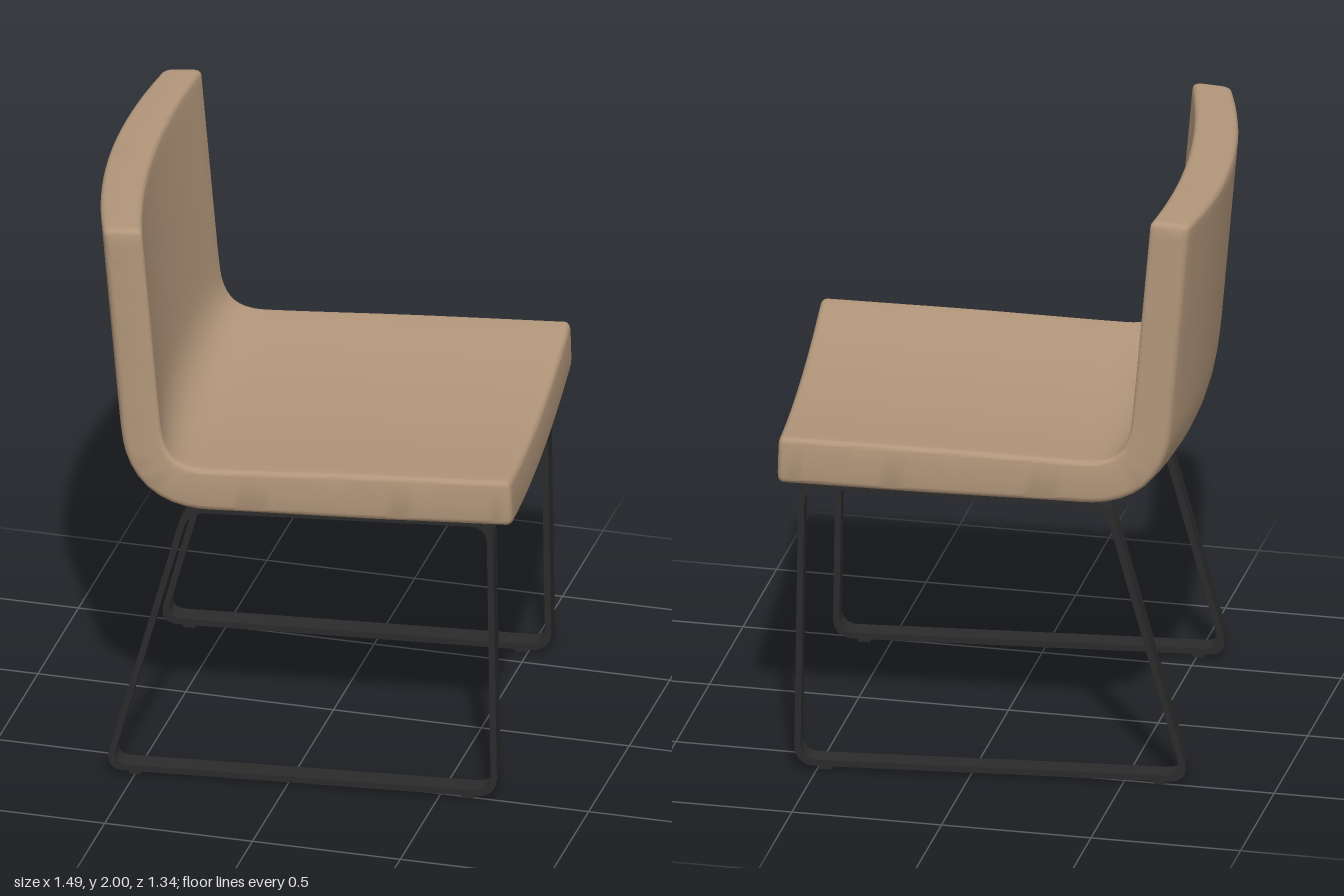
import * as THREE from 'three';
import { toCreasedNormals } from 'three/addons/utils/BufferGeometryUtils.js';

const fabric = new THREE.MeshStandardMaterial({ color: 0xb2967a });
fabric.name = 'tan upholstery';
const metal = new THREE.MeshStandardMaterial({ color: 0x2b2b2b });
metal.name = 'black metal';

const { lerp, smoothstep } = THREE.MathUtils;
const v2 = (x, y) => new THREE.Vector2(x, y);

// One upholstered shell: a rounded slab swept down the back and along the seat,
// dished across its width, the back cushion a little fuller in the middle.
function shellGeometry() {
  const path = new THREE.CurvePath();
  const top = v2(-0.597, 1.994), bendA = v2(-0.535, 1.275);
  const bendB = v2(-0.315, 1.07), front = v2(0.688, 1.1);
  path.add(new THREE.LineCurve(top, bendA));
  path.add(new THREE.CubicBezierCurve(bendA, v2(-0.524, 1.145), v2(-0.46, 1.066), bendB));
  path.add(new THREE.LineCurve(bendB, front));
  const length = path.getLength();

  const halfWidth = 0.607, r = 0.02, steps = 4;

  // Positions across the width, with the rounding of the long edges
  const across = [];
  for (let i = 0; i < steps; i++) {
    const a = (1 - i / steps) * Math.PI / 2;
    across.push([-1, r * (1 - Math.sin(a)), r * (1 - Math.cos(a))]);
  }
  const inner = 1 - r / halfWidth;
  for (let i = 0; i <= 20; i++) across.push([inner * (i / 10 - 1), 0, 0]);
  for (let i = 1; i <= steps; i++) {
    const a = i / steps * Math.PI / 2;
    across.push([1, r * (1 - Math.sin(a)), r * (1 - Math.cos(a))]);
  }

  // Stations along the path, with the rounding of the two ends
  const stations = [];
  for (let i = 0; i < steps; i++) {
    const a = i / steps * Math.PI / 2;
    stations.push([r * (1 - Math.cos(a)) / length, r * (1 - Math.sin(a))]);
  }
  const s0 = r / length;
  for (let i = 0; i <= 60; i++) stations.push([s0 + (1 - 2 * s0) * i / 60, 0]);
  for (let i = steps - 1; i >= 0; i--) {
    stations.push([1 - stations[i][0], stations[i][1]]);
  }

  const pos = [], index = [];
  const M = across.length, ring = 2 * M;
  for (const [s, inset] of stations) {
    const p = path.getPointAt(s), t = path.getTangentAt(s);
    const blend = smoothstep(s, 0.3, 0.52);
    const half = lerp(0.064, 0.074, blend) + 0.006 * smoothstep(s, 0.5, 0.8);
    const put = ([w, dw, dv], side) => {
      const z = w * (halfWidth - inset) - Math.sign(w) * dw;
      const sag = lerp(side < 0 ? 0.058 : 0.08, 0.045, blend);
      const d = sag * (1 - (z / halfWidth) ** 2) + side * (half - inset - dv);
      pos.push(p.x + t.y * d, p.y - t.x * d, z);
    };
    for (let i = 0; i < M; i++) put(across[i], -1);
    for (let i = M - 1; i >= 0; i--) put(across[i], 1);
  }
  for (let j = 0; j < stations.length - 1; j++) {
    for (let k = 0; k < ring; k++) {
      const a = j * ring + k, b = j * ring + (k + 1) % ring;
      index.push(a, b, a + ring, b, b + ring, a + ring);
    }
  }
  // End caps
  const last = (stations.length - 1) * ring;
  for (let i = 0; i < M - 1; i++) {
    const a = i, b = i + 1, c = ring - 2 - i, d = ring - 1 - i;
    index.push(b, a, d, b, d, c);
    index.push(last + a, last + b, last + c, last + a, last + c, last + d);
  }
  const g = new THREE.BufferGeometry();
  g.setAttribute('position', new THREE.Float32BufferAttribute(pos, 3));
  g.setIndex(index);
  return toCreasedNormals(g, 0.6);
}

// Closed outline with rounded corners
function roundedOutline(path, pts, radius) {
  const n = pts.length;
  pts.forEach((p, i) => {
    const toward = q => q.clone().sub(p).setLength(radius).add(p);
    const a = toward(pts[(i + n - 1) % n]), b = toward(pts[(i + 1) % n]);
    if (i === 0) path.moveTo(a.x, a.y); else path.lineTo(a.x, a.y);
    path.quadraticCurveTo(p.x, p.y, b.x, b.y);
  });
  path.closePath();
  return path;
}

// Flat bar bent into a closed sled loop
function sledGeometry() {
  const width = 0.076;
  const shape = roundedOutline(new THREE.Shape(),
    [v2(-0.665, 0.016), v2(0.637, 0.016), v2(0.622, 1.018), v2(-0.4, 0.993)], 0.075);
  shape.holes.push(roundedOutline(new THREE.Path(),
    [v2(-0.638, 0.037), v2(0.616, 0.037), v2(0.602, 0.997), v2(-0.384, 0.972)], 0.058));
  const g = new THREE.ExtrudeGeometry(shape, { depth: width, bevelEnabled: false, curveSegments: 8 });
  g.translate(0, 0, -width / 2);
  return toCreasedNormals(g, 0.6);
}

export function createModel() {
  const model = new THREE.Group();
  model.name = 'chair';
  const add = (geometry, material, name, x = 0, y = 0, z = 0) => {
    const mesh = new THREE.Mesh(geometry, material);
    mesh.name = name;
    mesh.position.set(x, y, z);
    model.add(mesh);
  };

  add(shellGeometry(), fabric, 'seatAndBack');

  const sled = sledGeometry();
  const pad = new THREE.BoxGeometry(0.04, 0.02, 0.05);
  for (const z of [-0.543, 0.543]) {
    add(sled, metal, 'sledLegFrame', 0, 0, z);
    for (const x of [-0.563, 0.535]) add(pad, metal, 'footPad', x, 0.01, z);
  }

  // The chair stands slightly turned
  model.rotation.y = 0.104;
  return model;
}
